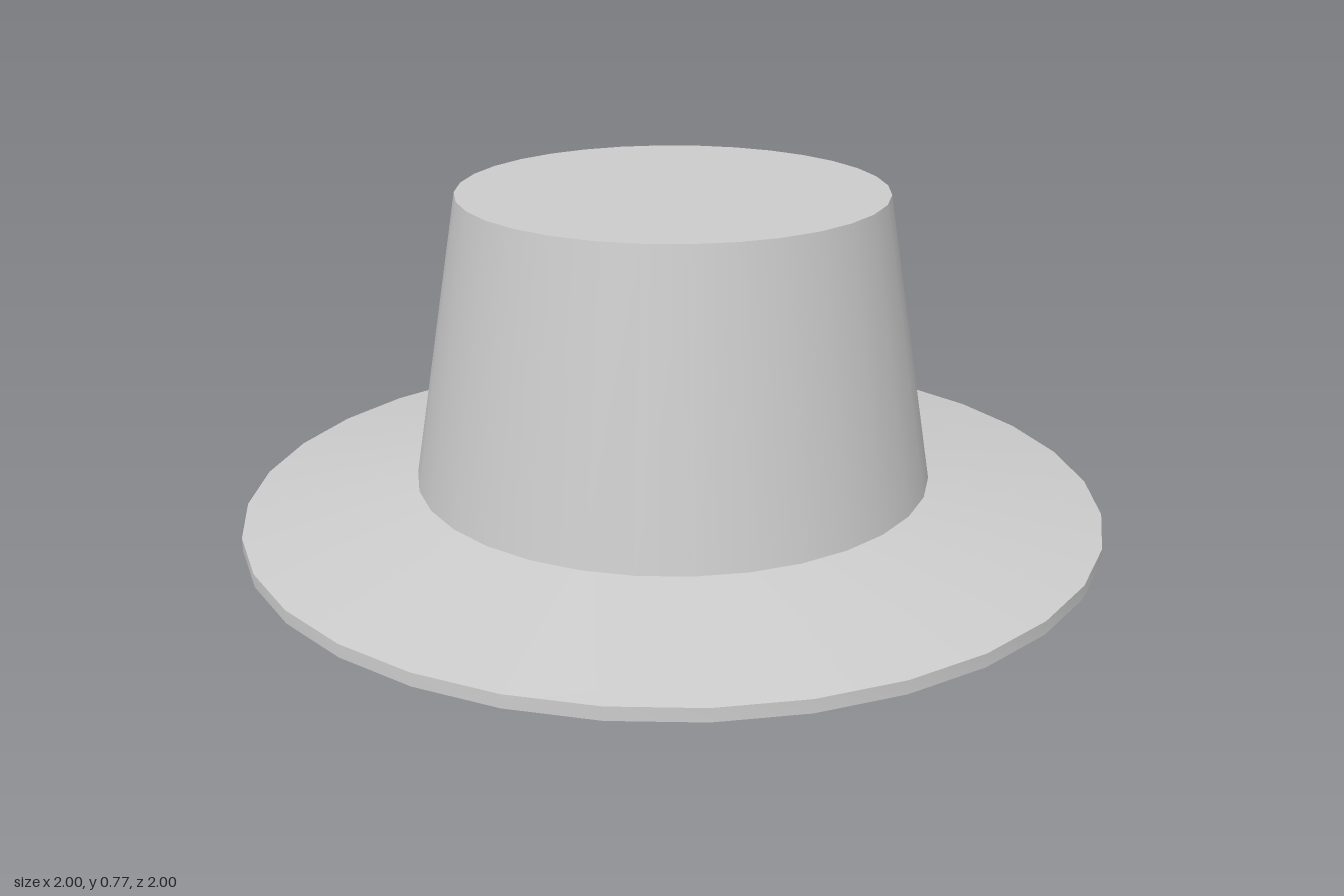
import * as THREE from 'three';
import { toCreasedNormals } from 'three/addons/utils/BufferGeometryUtils.js';

const SIDES = 32;
const CROWN_RADIUS = 0.6;
const TOP_RADIUS = 0.49;
const BRIM_TOP = 0.1;
const BRIM_UNDER = 0.07;
const HEIGHT = 0.77;

export function createModel() {
  const hat = new THREE.Group();
  hat.name = 'hat';
  const material = new THREE.MeshStandardMaterial({ color: 0xcccccc });

  const add = (name, geometry, y = 0) => {
    const mesh = new THREE.Mesh(geometry, material);
    mesh.name = name;
    mesh.position.y = y;
    hat.add(mesh);
    return mesh;
  };

  // Sloping brim: underside, rim, upper side
  const profile = [
    [CROWN_RADIUS, BRIM_UNDER],
    [1, 0],
    [1, 0.03],
    [CROWN_RADIUS, BRIM_TOP],
  ].map(([r, y]) => new THREE.Vector2(r, y));
  add('brim', toCreasedNormals(new THREE.LatheGeometry(profile, SIDES), Math.PI / 6));

  // Tapered crown wall
  const wallHeight = HEIGHT - BRIM_TOP;
  add(
    'crownWall',
    new THREE.CylinderGeometry(TOP_RADIUS, CROWN_RADIUS, wallHeight, SIDES, 1, true),
    BRIM_TOP + wallHeight / 2
  );

  // Flat discs closing the crown above and below
  add('crownTop', new THREE.CircleGeometry(TOP_RADIUS, SIDES).rotateX(-Math.PI / 2), HEIGHT);
  add('crownBase', new THREE.CircleGeometry(CROWN_RADIUS, SIDES).rotateX(Math.PI / 2), BRIM_UNDER);

  return hat;
}
